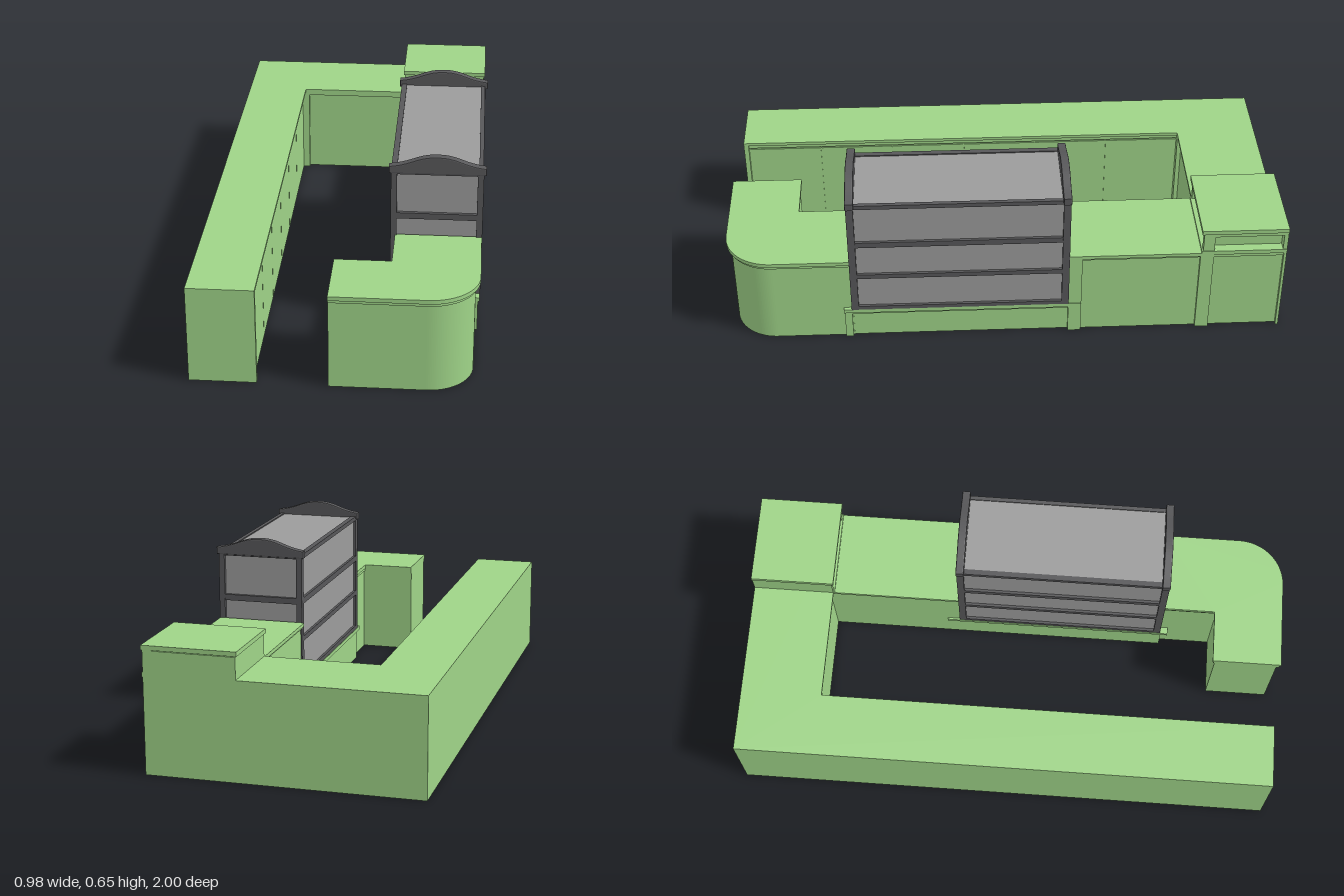
import * as THREE from 'three';

const green = new THREE.MeshStandardMaterial({ color: 0x9fd488 });
const dark = new THREE.MeshStandardMaterial({ color: 0x58585a });
const grey = new THREE.MeshStandardMaterial({ color: 0x9c9c9c });

export function createModel() {
  const root = new THREE.Group();
  let part;
  const group = (name) => {
    part = new THREE.Group();
    part.name = name;
    root.add(part);
  };
  const add = (name, geometry, material) => {
    const mesh = new THREE.Mesh(geometry, material);
    mesh.name = name;
    part.add(mesh);
    return mesh;
  };
  // Box given by its limits on each axis
  const box = (name, x0, x1, y0, y1, z0, z1, material = green) =>
    add(name, new THREE.BoxGeometry(x1 - x0, y1 - y0, z1 - z0), material)
      .position.set((x0 + x1) / 2, (y0 + y1) / 2, (z0 + z1) / 2);
  // Plan outline (x, -z) raised between two heights
  const raise = (name, shape, y0, y1) => {
    const g = new THREE.ExtrudeGeometry(shape, { depth: y1 - y0, bevelEnabled: false, curveSegments: 20 });
    g.rotateX(-Math.PI / 2).translate(0, y0, 0);
    add(name, g, green);
  };

  // L-shaped back counter: recessed inner faces under an overhanging top
  const ell = (d) => new THREE.Shape([
    [-0.49, 1], [-0.49, -0.98], [-0.26 - d, -0.98], [-0.26 - d, 0.70 + d], [0.475 - d, 0.70 + d], [0.475 - d, 1],
  ].map(([x, y]) => new THREE.Vector2(x, y)));
  group('backCounter');
  raise('counterBody', ell(0.016), 0, 0.325);
  raise('counterMoulding', ell(0.006), 0.325, 0.34);
  raise('counterTop', ell(0), 0.34, 0.352);
  box('counterEndPost', -0.28, -0.26, 0, 0.34, 0.962, 0.98);
  box('counterCornerPost', -0.28, -0.246, 0, 0.34, -0.718, -0.70);
  for (let i = 0; i < 6; i++) {
    const z = -0.695 + i * 0.276;
    box('counterInnerPanel', -0.28, -0.272, 0, 0.315, z, z + 0.272);
  }

  // Side counter with framed outer panels
  group('sideCounter');
  box('sideBody', 0.165, 0.46, 0, 0.325, -0.72, -0.225);
  box('sideMoulding', 0.16, 0.468, 0.325, 0.335, -0.72, -0.225);
  box('sideTop', 0.152, 0.475, 0.335, 0.348, -0.70, -0.225);
  for (const [z0, z1] of [[-0.272, -0.225], [-0.74, -0.692], [-1, -0.99]]) {
    box('sidePilaster', 0.45, 0.472, 0, 0.34, z0, z1);
  }

  // Raised box on the corner, open to the front and the outer side
  group('raisedCubby');
  box('cubbyFloor', 0.15, 0.475, 0.345, 0.356, -1, -0.695);
  box('cubbyBackWall', 0.15, 0.472, 0.35, 0.43, -1, -0.985);
  box('cubbyInnerWall', 0.15, 0.165, 0.35, 0.43, -1, -0.70);
  box('cubbyCore', 0.16, 0.44, 0.35, 0.43, -0.99, -0.735);
  box('cubbyPost', 0.448, 0.472, 0.35, 0.43, -0.74, -0.70);
  box('cubbyFrontRail', 0.15, 0.472, 0.417, 0.432, -0.73, -0.70);
  box('cubbySideRail', 0.44, 0.472, 0.417, 0.432, -1, -0.70);
  box('cubbyRoof', 0.146, 0.477, 0.432, 0.448, -1, -0.692);

  // Curved front counter
  const hook = (d) => {
    const s = new THREE.Shape();
    const x = 0.476 - d, z = -1 + d, r = 0.17 - d;
    s.moveTo(-0.02, z);
    s.lineTo(x - r, z);
    s.absarc(x - r, z + r, r, -Math.PI / 2, 0, false);
    s.lineTo(x, -0.55);
    s.lineTo(0.176 + d / 2, -0.55);
    s.lineTo(0.176 + d / 2, -0.745 - d / 2);
    s.lineTo(-0.02, -0.745 - d / 2);
    s.closePath();
    return s;
  };
  group('curvedCounter');
  raise('curvedBody', hook(0.016), 0, 0.325);
  raise('curvedMoulding', hook(0.007), 0.325, 0.337);
  raise('curvedTop', hook(0), 0.337, 0.352);

  // Low plinth below the display case
  group('casePlinth');
  box('plinthBody', 0.165, 0.458, 0, 0.12, -0.23, 0.56);
  box('plinthLedge', 0.158, 0.475, 0.115, 0.13, -0.272, 0.585);
  box('plinthRail', 0.45, 0.468, 0.105, 0.116, -0.25, 0.57);
  box('plinthFrontPost', 0.44, 0.47, 0, 0.12, 0.555, 0.582);
  box('plinthBackPost', 0.44, 0.47, 0, 0.12, -0.25, -0.225);

  // Display case: grey panels in a dark frame
  group('displayCase');
  box('casePanels', 0.17, 0.465, 0.13, 0.596, -0.212, 0.542, grey);
  for (const [y0, y1] of [[0.13, 0.145], [0.274, 0.292], [0.415, 0.437], [0.584, 0.6]]) {
    box('innerSideRail', 0.16, 0.18, y0, y1, -0.21, 0.54, dark);
    box('outerSideRail', 0.46, 0.475, y0, y1, -0.21, 0.54, dark);
    for (const z of [-0.217, 0.547]) box('endRail', 0.17, 0.465, y0, y1, z - 0.007, z + 0.007, dark);
  }
  for (const z of [-0.213, 0.543]) {
    box('casePost', 0.16, 0.181, 0.13, 0.6, z - 0.013, z + 0.013, dark);
    box('casePost', 0.456, 0.477, 0.13, 0.6, z - 0.013, z + 0.013, dark);
    // Arched crest over each end
    const s = new THREE.Shape();
    s.moveTo(0.157, 0.592);
    s.lineTo(0.481, 0.592);
    s.lineTo(0.481, 0.611);
    s.bezierCurveTo(0.40, 0.621, 0.39, 0.648, 0.319, 0.648);
    s.bezierCurveTo(0.248, 0.648, 0.238, 0.621, 0.157, 0.611);
    s.closePath();
    const g = new THREE.ExtrudeGeometry(s, {
      depth: 0.022, bevelThickness: 0.004, bevelSize: 0.004, bevelSegments: 2, curveSegments: 14,
    });
    add('caseCrest', g.translate(0, 0, z - 0.011), dark);
  }
  return root;
}
